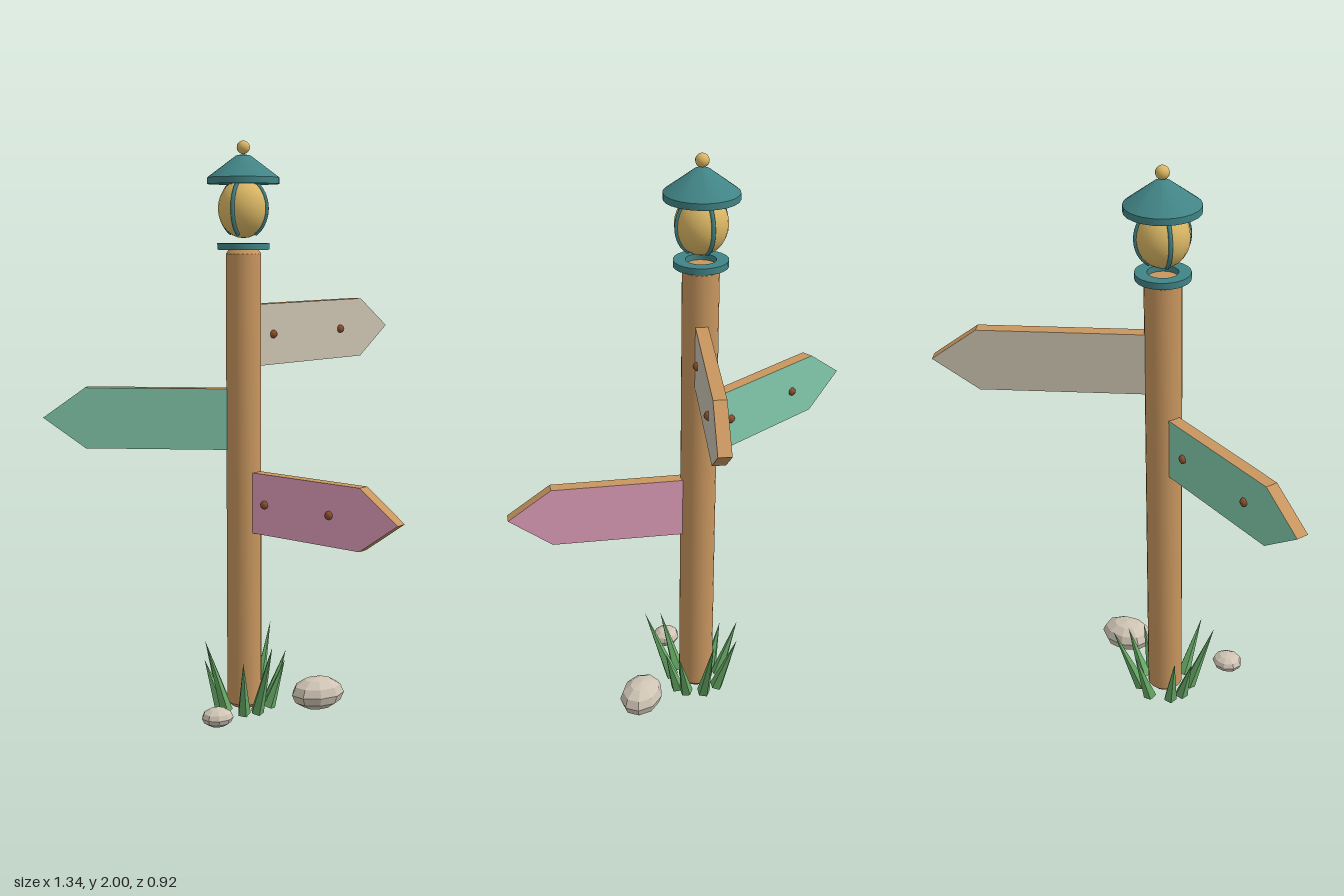
import * as THREE from 'three';
import { toCreasedNormals } from 'three/addons/utils/BufferGeometryUtils.js';

const mat = (name, color, flatShading = false) => {
  const m = new THREE.MeshStandardMaterial({ color, flatShading });
  m.name = name;
  return m;
};

export function createModel() {
  const wood = mat('wood', 0xc8965f);
  const cream = mat('cream paint', 0xcbc3b0);
  const mint = mat('mint paint', 0x84ccae);
  const pink = mat('pink paint', 0xe2a0bd);
  const teal = mat('teal metal', 0x418486);
  const gold = mat('gold glass', 0xdcb865);
  const nailBrown = mat('nail brown', 0x8a4f2e);
  const grassGreen = mat('grass green', 0x69ad68, true);
  const stone = mat('stone', 0xcfc4b4, true);

  const model = new THREE.Group();
  model.name = 'signpost';

  // Everything on the post's axis hangs from this group
  const post = new THREE.Group();
  post.name = 'postAssembly';
  post.position.set(-0.022, 0, -0.125);
  model.add(post);

  const add = (parent, name, geometry, material, x = 0, y = 0, z = 0) => {
    const mesh = new THREE.Mesh(geometry, material);
    mesh.name = name;
    mesh.position.set(x, y, z);
    parent.add(mesh);
    return mesh;
  };
  const lathe = (points, segments = 24) => toCreasedNormals(
    new THREE.LatheGeometry(points.map(([r, y]) => new THREE.Vector2(r, y)), segments), 0.5);

  // Post with chamfered ends
  add(post, 'post', lathe([[0, 0.015], [0.047, 0.015], [0.061, 0.03], [0.061, 1.62], [0.05, 1.636], [0, 1.636]]), wood);

  // Lantern: open collar, glass bulb, four ribs, roof and finial
  add(post, 'lanternCollar', lathe([[0.05, 1.634], [0.09, 1.634], [0.09, 1.656], [0.05, 1.656], [0.05, 1.634]]), teal);
  add(post, 'lanternBulb', new THREE.SphereGeometry(1, 20, 14), gold, 0, 1.773, 0).scale.set(0.087, 0.1, 0.087);
  for (let i = 0; i < 4; i++) {
    const a = Math.PI / 4 + i * Math.PI / 2;
    const points = [];
    for (let j = 0; j <= 8; j++) {
      const t = -1.05 + j * 0.2625;
      const r = 0.087 * Math.cos(t);
      points.push(new THREE.Vector3(r * Math.cos(a), 1.773 + 0.1 * Math.sin(t), r * Math.sin(a)));
    }
    add(post, 'lanternRib', new THREE.TubeGeometry(new THREE.CatmullRomCurve3(points), 16, 0.007, 6), teal);
  }
  add(post, 'lanternRoof', lathe([[0, 1.855], [0.123, 1.855], [0.123, 1.877], [0.025, 1.95], [0, 1.955]]), teal);
  add(post, 'finial', new THREE.SphereGeometry(0.0225, 14, 10), gold, 0, 1.9775, 0);

  // Arrow boards: painted on both faces, bare wood around the edge
  const boards = [
    { name: 'upperSign', y: 1.339, angle: 25, end: 0.75, paint: cream, nails: [0.126, 0.483] },
    { name: 'middleSign', y: 1.049, angle: 155, end: 0.705, paint: mint, nails: [0.135, 0.452] },
    { name: 'lowerSign', y: 0.76, angle: -60, end: 0.66, paint: pink, nails: [0.11, 0.386] },
  ];
  const depth = 0.042, half = 0.107, start = 0.05;
  for (const b of boards) {
    const sign = new THREE.Group();
    sign.name = b.name;
    sign.position.y = b.y;
    sign.rotation.y = THREE.MathUtils.degToRad(b.angle);
    post.add(sign);
    const outline = new THREE.Shape([
      [start, -half], [b.end - 0.15, -half], [b.end, 0], [b.end - 0.15, half], [start, half],
    ].map(([x, y]) => new THREE.Vector2(x, y)));
    add(sign, 'board', new THREE.ExtrudeGeometry(outline, { depth, bevelEnabled: false }), [b.paint, wood], 0, 0, -depth / 2);
    for (const x of b.nails) {
      add(sign, 'nail', new THREE.SphereGeometry(1, 8, 6), nailBrown, x, 0, depth / 2).scale.set(0.015, 0.015, 0.014);
    }
  }

  // Grass blades: tip offset x, z and height
  const blades = [
    [0.03, -0.165, 0.24], [0.146, -0.118, 0.275], [0.157, 0.007, 0.2], [0.128, 0.07, 0.185], [0.035, 0.186, 0.275],
    [-0.064, 0.164, 0.22], [-0.165, 0.066, 0.275], [-0.135, -0.045, 0.18], [-0.107, -0.121, 0.225],
  ];
  const up = new THREE.Vector3(0, 1, 0);
  for (const [x, z, h] of blades) {
    const tip = new THREE.Vector3(x, h, z);
    const base = new THREE.Vector3(x, 0, z).setLength(0.088).setY(0.011);
    const dir = tip.clone().sub(base);
    const blade = add(post, 'grassBlade', new THREE.ConeGeometry(0.024, dir.length(), 5), grassGreen);
    blade.position.copy(base).add(tip).multiplyScalar(0.5);
    blade.quaternion.setFromUnitVectors(up, dir.normalize());
  }

  // Stones beside the post
  add(model, 'largeStone', new THREE.SphereGeometry(1, 9, 6), stone, 0.211, 0.067, -0.002).scale.set(0.098, 0.058, 0.072);
  add(model, 'smallStone', new THREE.SphereGeometry(1, 9, 6), stone, -0.187, 0.047, 0.056).scale.set(0.056, 0.033, 0.049);

  return model;
}
